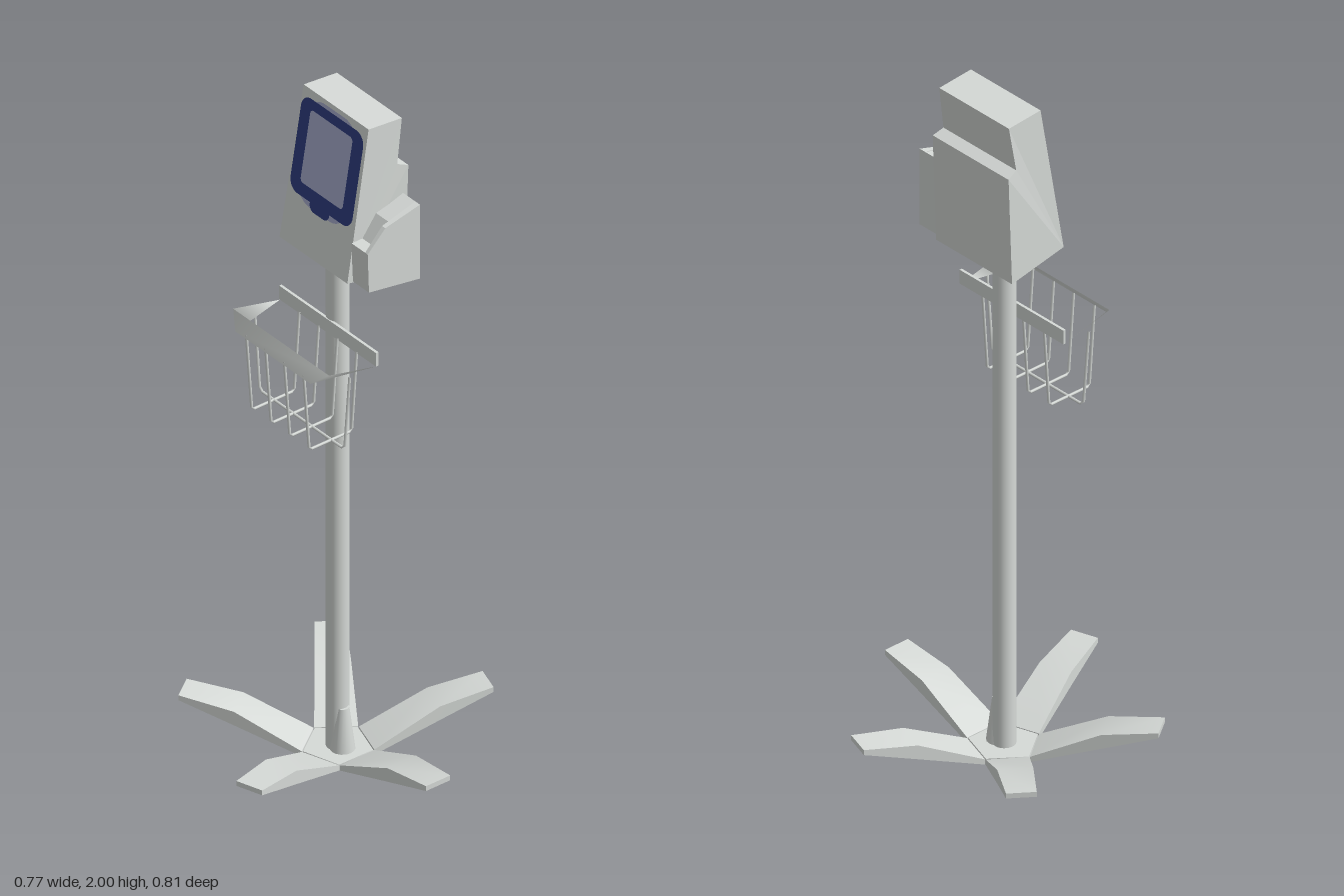
import * as THREE from 'three';

const mat = (name, color, side = THREE.FrontSide) => {
  const m = new THREE.MeshStandardMaterial({ color, side });
  m.name = name;
  return m;
};

// Side profile of [z, y] points, extruded across x from x0 to x1
function sideExtrude(points, x0, x1) {
  const shape = new THREE.Shape(points.map(([z, y]) => new THREE.Vector2(z, y)));
  const g = new THREE.ExtrudeGeometry(shape, { depth: x1 - x0, bevelEnabled: false });
  return g.rotateY(-Math.PI / 2).translate(x1, 0, 0);
}

// Move every vertex by a rule and refresh the normals
function reshape(g, rule) {
  const p = g.attributes.position;
  for (let i = 0; i < p.count; i++) p.setXYZ(i, ...rule(p.getX(i), p.getY(i), p.getZ(i)));
  g.computeVertexNormals();
  return g;
}

function roundedRect(w, h, r) {
  const s = new THREE.Shape();
  const x = w / 2, y = h / 2, q = Math.PI / 2;
  s.absarc(x - r, y - r, r, 0, q);
  s.absarc(-x + r, y - r, r, q, 2 * q);
  s.absarc(-x + r, -y + r, r, 2 * q, 3 * q);
  s.absarc(x - r, -y + r, r, 3 * q, 4 * q);
  return s;
}

export function createModel() {
  const model = new THREE.Group();
  const body = mat('light grey', 0xd6dad7);
  const sheet = mat('light grey sheet', 0xd6dad7, THREE.DoubleSide);
  const blue = mat('screen frame blue', 0x2f3c80);
  const lilac = mat('screen lilac', 0xa6abcd);
  const CX = -0.03; // axis of pole and head

  const add = (name, geo, material, parent = model) => {
    const m = new THREE.Mesh(geo, material);
    m.name = name;
    parent.add(m);
    return m;
  };

  // Star base: five rising, tapering legs with a raised middle, around a pentagon hub
  const base = new THREE.Group();
  base.name = 'base';
  base.position.x = CX;
  model.add(base);
  add('hub', new THREE.CylinderGeometry(0.095, 0.098, 0.016, 5, 1, false, -Math.PI / 2)
    .translate(0, 0.008, 0), body, base);
  const sections = [ // radius, bottom, top, width
    [0.08, 0, 0.016, 0.114], [0.265, 0.058, 0.1, 0.094], [0.415, 0.105, 0.12, 0.08]];
  const legGeo = reshape(new THREE.BoxGeometry(2, 1, 1, 2, 1, 1), (x, y, z) => {
    const [r, low, high, width] = sections[Math.round(x) + 1];
    return [r, y > 0 ? high : low, z * width];
  });
  for (let i = 0; i < 5; i++) add('leg', legGeo, body, base).rotation.y = i * Math.PI * 0.4;

  // Pole with a small conical foot beside it
  add('pole', new THREE.CylinderGeometry(0.031, 0.031, 1.5, 24).translate(CX, 0.76, 0), body);
  add('poleFoot', new THREE.CylinderGeometry(0.018, 0.034, 0.13, 16).translate(-0.01, 0.08, 0), body);

  // Tapered neck under the head
  add('neck', reshape(new THREE.BoxGeometry(0.13, 0.045, 0.085), (x, y, z) =>
    [CX + x, 1.52 + y, z * (y > 0 ? 1.05 : 0.5)]), body);

  // Head: leaning housing with a stepped back shell
  add('head', reshape(sideExtrude([[0.08, 1.555], [0.005, 2], [-0.105, 1.99], [-0.085, 1.858],
    [-0.117, 1.845], [-0.105, 1.522]], -0.5, 0.5), (x, y, z) => {
    const half = y > 1.9 ? 0.134 : z < -0.1 ? 0.146 : 0.14;
    return [CX + Math.sign(x) * half, y, z];
  }), body);

  // Screen plates on the leaning front face
  const screen = new THREE.Group();
  screen.name = 'screen';
  screen.position.set(CX, 1.838, 0.0325);
  screen.rotation.x = -Math.atan2(0.075, 0.445);
  model.add(screen);
  const plate = (name, shape, z, y, material) =>
    add(name, new THREE.ShapeGeometry(shape, 16).translate(0, y, z), material, screen);
  plate('screenSurround', roundedRect(0.2, 0.305, 0.06), 0.002, 0, lilac);
  plate('screenFrame', roundedRect(0.256, 0.278, 0.035), 0.004, 0.004, blue);
  plate('screenFrameTab', roundedRect(0.08, 0.05, 0.02), 0.005, -0.132, blue);
  plate('screenPanel', roundedRect(0.174, 0.212, 0.012), 0.006, 0.01, lilac);

  // Side holder: tapering outer wall and a stepped body with an open pocket
  const taper = (g) => reshape(g, (x, y, z) => [x > 0.17 ? 0.18 - 0.05 * z : x, y, z]);
  add('holderWall', taper(sideExtrude([[-0.1, 1.535], [0.062, 1.555], [0.066, 1.675],
    [0.01, 1.735], [-0.1, 1.765]], 0.166, 0.18)), body);
  add('holderBody', sideExtrude([[-0.1, 1.535], [0.062, 1.555], [0.066, 1.675],
    [0.03, 1.675], [-0.015, 1.735], [-0.1, 1.765]], 0.11, 0.166), body);

  // Basket: back rail, flared rim and wire cradle
  const basket = new THREE.Group();
  basket.name = 'basket';
  basket.position.x = CX;
  model.add(basket);
  add('backRail', new THREE.BoxGeometry(0.4, 0.042, 0.008).translate(0, 1.33, 0.029), body, basket);
  const rim = new THREE.BufferGeometry();
  rim.setAttribute('position', new THREE.Float32BufferAttribute([
    -0.155, 1.308, 0.214, 0.155, 1.308, 0.214,
    0.198, 1.345, 0.187, -0.198, 1.345, 0.187,
    0.198, 1.308, 0.032, -0.198, 1.308, 0.032], 3));
  rim.setIndex([0, 1, 2, 0, 2, 3, 2, 1, 4, 3, 5, 0]);
  rim.computeVertexNormals();
  add('rim', rim, sheet, basket);

  const wireU = (name, pts) => {
    const path = new THREE.CurvePath();
    const v = pts.map((p) => new THREE.Vector3(...p));
    for (let i = 0; i < 3; i++) path.add(new THREE.LineCurve3(v[i], v[i + 1]));
    add(name, new THREE.TubeGeometry(path, 40, 0.004, 6), body, basket);
  };
  for (const x of [-0.117, -0.037, 0.04, 0.12]) {
    wireU('basketWire', [[x, 1.315, 0.208], [x, 1.075, 0.19], [x, 1.075, 0.05], [x, 1.315, 0.033]]);
  }
  wireU('crossWire', [[-0.196, 1.31, 0.117], [-0.175, 1.075, 0.117],
    [0.175, 1.075, 0.117], [0.196, 1.31, 0.117]]);

  return model;
}
